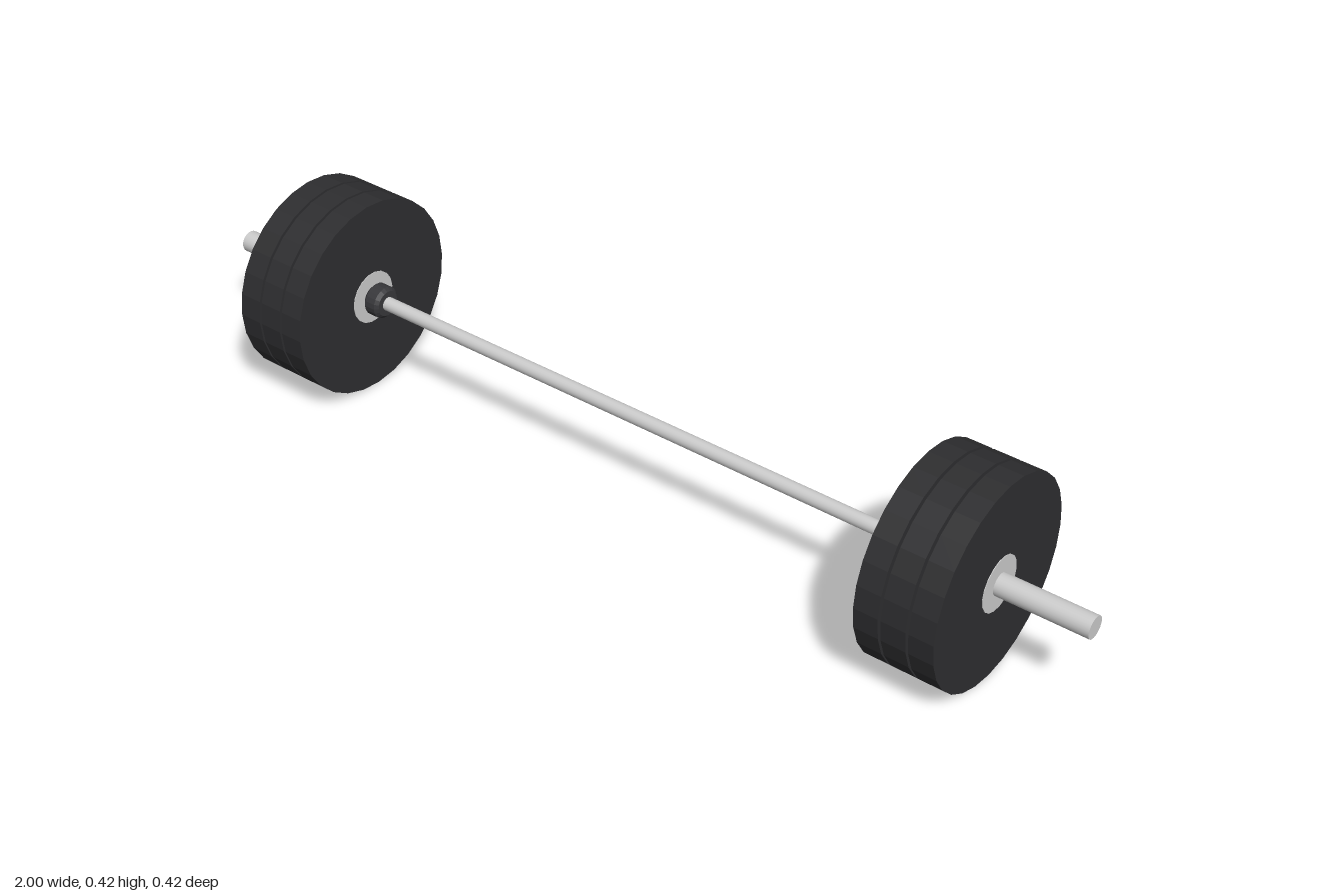
import * as THREE from 'three';

const AXIS_Y = 0.21;
const steel = new THREE.MeshStandardMaterial({ color: 0xcccccc });
const hubSteel = new THREE.MeshStandardMaterial({ color: 0xcccccc, flatShading: true });
const rubber = new THREE.MeshStandardMaterial({ color: 0x2e2e30, flatShading: true });
const darkSteel = new THREE.MeshStandardMaterial({ color: 0x38383b, flatShading: true });

// Cylinder lying along x, centred at the given x
function rod(name, radius, length, x, sides, material) {
  const geometry = new THREE.CylinderGeometry(radius, radius, length, sides).rotateZ(Math.PI / 2);
  const mesh = new THREE.Mesh(geometry, material);
  mesh.name = name;
  mesh.position.x = x;
  return mesh;
}

// Chamfered ring between the grip and the plates
function collar(x) {
  const profile = [
    [0.01, -0.019], [0.027, -0.019], [0.034, -0.012],
    [0.034, 0.012], [0.027, 0.019], [0.01, 0.019],
  ].map(([r, h]) => new THREE.Vector2(r, h));
  const mesh = new THREE.Mesh(new THREE.LatheGeometry(profile, 20).rotateZ(Math.PI / 2), darkSteel);
  mesh.name = 'collar';
  mesh.position.x = x;
  return mesh;
}

// Rubber disc with a steel hub standing slightly proud
function plate(x) {
  const group = new THREE.Group();
  group.name = 'weightPlate';
  group.position.x = x;
  group.add(rod('plateDisc', 0.209, 0.05, 0, 28, rubber));
  group.add(rod('plateHub', 0.056, 0.053, 0, 18, hubSteel));
  return group;
}

export function createModel() {
  const barbell = new THREE.Group();
  barbell.name = 'barbell';

  const assembly = new THREE.Group();
  assembly.name = 'barAndWeights';
  assembly.position.y = AXIS_Y;
  barbell.add(assembly);

  // Thin grip bar
  assembly.add(rod('gripBar', 0.0145, 1.28, 0, 20, steel));

  // Sleeve, collar and three plates on each end
  for (const [side, name] of [[1, 'leftEnd'], [-1, 'rightEnd']]) {
    const end = new THREE.Group();
    end.name = name;
    end.add(rod('sleeve', 0.0225, 0.37, side * 0.815, 24, steel));
    end.add(collar(side * 0.63));
    for (let i = 0; i < 3; i++) end.add(plate(side * (0.677 + i * 0.0555)));
    assembly.add(end);
  }
  return barbell;
}
